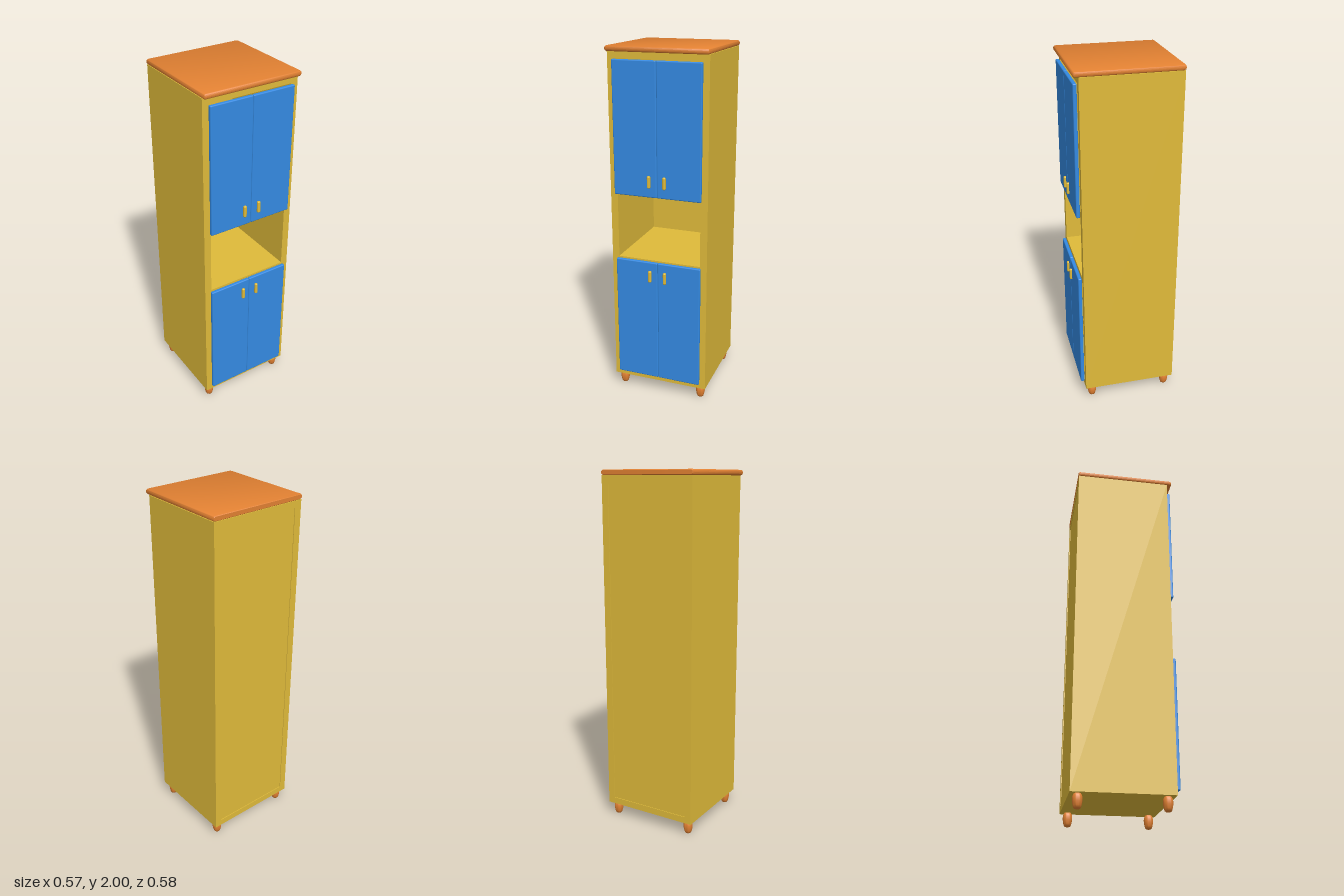
import * as THREE from 'three';
import { toCreasedNormals } from 'three/addons/utils/BufferGeometryUtils.js';
import { RoundedBoxGeometry } from 'three/addons/geometries/RoundedBoxGeometry.js';

export function createModel() {
  const group = new THREE.Group();
  const material = (name, color) => {
    const m = new THREE.MeshStandardMaterial({ color });
    m.name = name;
    return m;
  };
  const yellow = material('yellow wood', 0xdfba3a);
  const orange = material('orange wood', 0xe28132);
  const blue = material('blue paint', 0x348ae2);

  const add = (name, geometry, mat, x = 0, y = 0, z = 0) => {
    const mesh = new THREE.Mesh(geometry, mat);
    mesh.name = name;
    mesh.position.set(x, y, z);
    group.add(mesh);
  };
  // Box given by its limits on each axis
  const panel = (name, mat, x0, x1, y0, y1, z0, z1) =>
    add(name, new THREE.BoxGeometry(x1 - x0, y1 - y0, z1 - z0), mat,
      (x0 + x1) / 2, (y0 + y1) / 2, (z0 + z1) / 2);

  const bottom = 0.075, top = 1.97, back = -0.287, front = 0.25, inner = 0.24;

  // Carcass: sides, floor, ceiling, niche boards, hidden shelves, thin back
  panel('rightSide', yellow, -0.28, -inner, bottom, top, back, front);
  panel('leftSide', yellow, inner, 0.28, bottom, top, back, front);
  const boards = [
    ['floor', bottom, 0.112, back, front],
    ['ceiling', 1.933, top, back, front],
    ['nicheFloor', 0.8, 0.836, -0.274, front],
    ['nicheCeiling', 1.203, 1.24, -0.274, front],
    ['lowerShelf', 0.457, 0.487, -0.274, 0.235],
    ['upperShelf', 1.56, 1.59, -0.274, 0.235],
  ];
  for (const [name, y0, y1, z0, z1] of boards) panel(name, yellow, -inner, inner, y0, y1, z0, z1);
  panel('backPanel', yellow, -inner, inner, 0.112, 1.933, -0.283, -0.274);

  // Top board: rounded at the front and sides, cut flat at the back
  const topGeometry = new RoundedBoxGeometry(0.57, 0.03, 0.5735, 4, 0.0145);
  const p = topGeometry.attributes.position;
  for (let i = 0; i < p.count; i++) p.setZ(i, Math.max(p.getZ(i), -0.2823));
  add('topBoard', toCreasedNormals(topGeometry, 0.7), orange, 0, 1.985, -0.0068);

  // Doors and handles, mirrored in pairs
  for (const [level, y0, y1, handleY] of [['lower', 0.108, 0.83, 0.747], ['upper', 1.208, 1.932, 1.295]]) {
    for (const side of [-1, 1]) {
      const label = level + (side > 0 ? 'Left' : 'Right');
      add(label + 'Door', new RoundedBoxGeometry(0.2475, y1 - y0, 0.021, 3, 0.006), blue,
        side * 0.1243, (y0 + y1) / 2, 0.2635);
      add(label + 'Handle', new RoundedBoxGeometry(0.018, 0.068, 0.018, 4, 0.007), yellow,
        side * 0.044, handleY, 0.278);
    }
  }

  // Turned bulging feet
  const profile = [[0, 0], [0.013, 0], [0.018, 0.004], [0.022, 0.016], [0.026, 0.036],
    [0.026, 0.05], [0.024, 0.064], [0.019, 0.073], [0.016, 0.077], [0, 0.077]];
  const footGeometry = toCreasedNormals(
    new THREE.LatheGeometry(profile.map(([r, y]) => new THREE.Vector2(r, y)), 24), 0.9);
  for (const x of [-0.24, 0.24]) {
    for (const z of [-0.245, 0.208]) {
      add((z > 0 ? 'front' : 'back') + (x > 0 ? 'Left' : 'Right') + 'Foot', footGeometry, orange, x, 0, z);
    }
  }
  return group;
}
